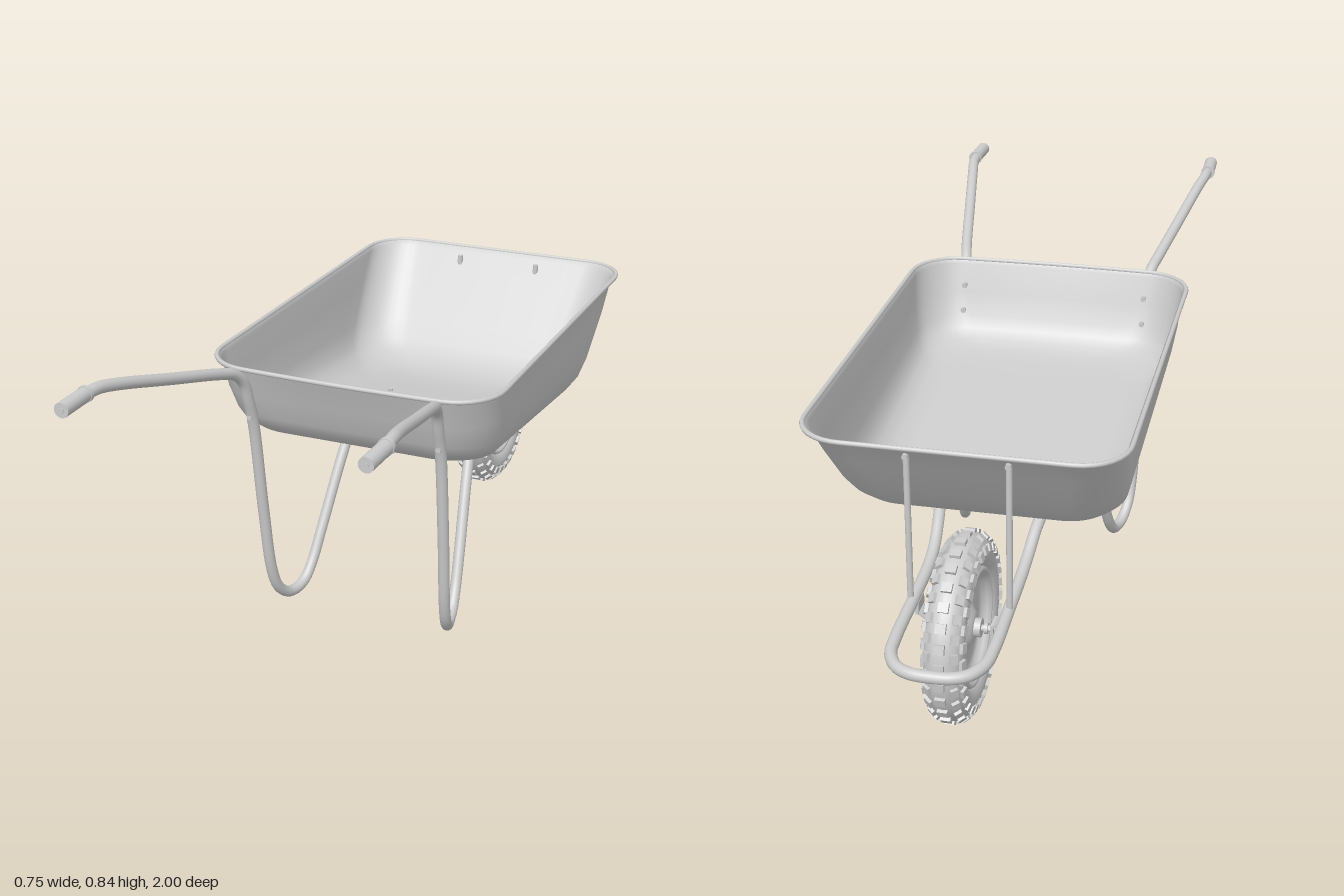
import * as THREE from 'three';
import { mergeGeometries } from 'three/addons/utils/BufferGeometryUtils.js';

const steel = new THREE.MeshStandardMaterial({ color: 0xcccccc, side: THREE.DoubleSide });
steel.name = 'plain grey';
const V = (x, y, z) => new THREE.Vector3(x, y, z);

function add(parent, name, geometry, x = 0, y = 0, z = 0) {
  const mesh = new THREE.Mesh(geometry, steel);
  mesh.name = name;
  mesh.position.set(x, y, z);
  parent.add(mesh);
  return mesh;
}

// Cylinder running from a to b
function rod(parent, name, a, b, r, sides = 20) {
  const mesh = add(parent, name, new THREE.CylinderGeometry(r, r, a.distanceTo(b), sides));
  mesh.position.copy(a).add(b).multiplyScalar(0.5);
  mesh.quaternion.setFromUnitVectors(V(0, 1, 0), b.clone().sub(a).normalize());
  return mesh;
}

// Rounded-rectangle loop that slopes from its back edge to its front edge
function trayLoop([zBack, yBack, zFront, yFront, half, r, bow]) {
  const pts = [];
  const corner = (cx, cz, start) => {
    for (let i = 0; i <= 10; i++) {
      const a = start + (i / 10) * Math.PI / 2;
      pts.push([cx + r * Math.cos(a), cz + r * Math.sin(a)]);
    }
  };
  const edge = (ax, az, bx, bz) => {
    for (let i = 1; i < 10; i++) pts.push([ax + (bx - ax) * i / 10, az + (bz - az) * i / 10]);
  };
  const x = half - r, zb = zBack - r, zf = zFront + r;
  corner(x, zb, 0);
  edge(x, zBack, -x, zBack);
  corner(-x, zb, Math.PI / 2);
  edge(-half, zb, -half, zf);
  corner(-x, zf, Math.PI);
  edge(-x, zFront, x, zFront);
  corner(x, zf, Math.PI * 1.5);
  edge(half, zf, half, zb);
  return pts.map(([px, pz]) => {
    const t = (pz - zFront) / (zBack - zFront);
    const bulge = t > 0.5 ? bow * (1 - (px / half) ** 2) * (t - 0.5) * 2 : 0;
    return V(px, yFront + (yBack - yFront) * t, pz + bulge);
  });
}

// Pressed tray: loops from the rim down to the floor
function trayGeometry(sections) {
  const loops = sections.map(trayLoop);
  const n = loops[0].length, pos = [], idx = [];
  loops.forEach(l => l.forEach(p => pos.push(p.x, p.y, p.z)));
  for (let k = 0; k < loops.length - 1; k++) {
    for (let i = 0; i < n; i++) {
      const a = k * n + i, b = k * n + (i + 1) % n;
      idx.push(a, b, a + n, b, b + n, a + n);
    }
  }
  const last = loops[loops.length - 1];
  const c = last.reduce((s, p) => s.add(p), V(0, 0, 0)).divideScalar(n);
  pos.push(c.x, c.y, c.z);
  const base = (loops.length - 1) * n;
  for (let i = 0; i < n; i++) idx.push(base + i, base + (i + 1) % n, loops.length * n);
  const g = new THREE.BufferGeometry();
  g.setAttribute('position', new THREE.Float32BufferAttribute(pos, 3));
  g.setIndex(idx);
  g.computeVertexNormals();
  return g;
}

function makeTray() {
  const tray = new THREE.Group();
  tray.name = 'tray';
  // back z, back y, front z, front y, half width, corner radius, back bow
  const sections = [
    [0.368, 0.703, -0.752, 0.693, 0.366, 0.11, 0.014],
    [0.362, 0.692, -0.738, 0.682, 0.360, 0.11, 0.012],
    [0.345, 0.620, -0.680, 0.605, 0.356, 0.115, 0.004],
    [0.326, 0.560, -0.600, 0.500, 0.345, 0.12, 0],
    [0.308, 0.530, -0.560, 0.455, 0.334, 0.12, 0],
    [0.285, 0.508, -0.530, 0.428, 0.315, 0.12, 0],
    [0.250, 0.492, -0.490, 0.408, 0.285, 0.11, 0],
    [0.200, 0.481, -0.435, 0.399, 0.240, 0.10, 0],
    [0.100, 0.468, -0.330, 0.412, 0.130, 0.07, 0],
  ];
  add(tray, 'trayShell', trayGeometry(sections));
  const rim = new THREE.CatmullRomCurve3(trayLoop([0.371, 0.702, -0.756, 0.692, 0.370, 0.112, 0.013]), true);
  add(tray, 'rolledRim', new THREE.TubeGeometry(rim, 160, 0.006, 8, true));
  for (const s of [-1, 1]) {
    rod(tray, 'floorBolt', V(s * 0.14, 0.405, -0.26), V(s * 0.14, 0.428, -0.26), 0.007, 8);
    rod(tray, 'upperBackBolt', V(s * 0.247, 0.637, 0.34), V(s * 0.247, 0.637, 0.381), 0.007, 8);
    rod(tray, 'lowerBackBolt', V(s * 0.247, 0.572, 0.32), V(s * 0.247, 0.572, 0.365), 0.007, 8);
    rod(tray, 'frontBolt', V(s * 0.115, 0.66, -0.735), V(s * 0.115, 0.66, -0.712), 0.007, 8);
  }
  return tray;
}

function makeFrame() {
  const frame = new THREE.Group();
  frame.name = 'frame';
  // One bent tube: handle, leg, under-tray arch and front hoop, then mirrored
  const half = [
    [0.346, 0.825, 0.99], [0.346, 0.825, 0.91], [0.343, 0.824, 0.86], [0.332, 0.812, 0.80],
    [0.300, 0.765, 0.63], [0.268, 0.718, 0.46], [0.257, 0.700, 0.41], [0.250, 0.672, 0.382],
    [0.247, 0.620, 0.364], [0.246, 0.550, 0.344], [0.243, 0.300, 0.313], [0.238, 0.120, 0.289],
    [0.233, 0.060, 0.266], [0.224, 0.027, 0.230], [0.216, 0.021, 0.195], [0.209, 0.032, 0.158],
    [0.203, 0.070, 0.123], [0.195, 0.150, 0.077], [0.176, 0.330, -0.022], [0.169, 0.385, -0.060],
    [0.161, 0.410, -0.100], [0.153, 0.413, -0.150], [0.140, 0.402, -0.260], [0.128, 0.382, -0.390],
    [0.119, 0.355, -0.450], [0.113, 0.318, -0.515], [0.111, 0.300, -0.580], [0.111, 0.290, -0.700],
    [0.111, 0.280, -0.860], [0.105, 0.277, -0.920], [0.080, 0.275, -0.963], [0.045, 0.275, -0.982],
  ].map(p => V(...p));
  const mirrored = half.map(p => V(-p.x, p.y, p.z)).reverse();
  const path = new THREE.CatmullRomCurve3([...half, V(0, 0.275, -0.986), ...mirrored]);
  add(frame, 'bentTube', new THREE.TubeGeometry(path, 420, 0.0142, 16));
  for (const s of [-1, 1]) {
    // Grips with a recessed-looking end button
    rod(frame, 'grip', V(s * 0.348, 0.825, 0.905), V(s * 0.346, 0.825, 0.998), 0.0175);
    rod(frame, 'gripCollar', V(s * 0.348, 0.825, 0.897), V(s * 0.348, 0.825, 0.907), 0.019);
    rod(frame, 'gripEnd', V(s * 0.346, 0.825, 0.995), V(s * 0.346, 0.825, 1.0), 0.006, 10);
    // Strut from the front hoop to the tray front
    rod(frame, 'strut', V(s * 0.115, 0.285, -0.72), V(s * 0.115, 0.675, -0.72), 0.0075, 12);
    // Cranked bracket that carries the axle
    add(frame, 'bracketTop', new THREE.BoxGeometry(0.008, 0.03, 0.05), s * 0.1, 0.272, -0.7);
    const web = add(frame, 'bracketWeb', new THREE.BoxGeometry(0.036, 0.006, 0.045), s * 0.087, 0.251, -0.7);
    web.rotation.z = s * 0.65;
    add(frame, 'bracketPlate', new THREE.BoxGeometry(0.006, 0.036, 0.045), s * 0.073, 0.228, -0.7);
  }
  return frame;
}

// Lathe profile of [radius, offset] turned about the x axis
function wheelLathe(points) {
  const g = new THREE.LatheGeometry(points.map(p => new THREE.Vector2(...p)), 48);
  return g.rotateZ(Math.PI / 2);
}

function makeWheel() {
  const wheel = new THREE.Group();
  wheel.name = 'wheel';
  wheel.position.set(0, 0.225, -0.70);
  const R = 0.172, r = 0.045;
  add(wheel, 'tyre', new THREE.TorusGeometry(R, r, 24, 64).rotateY(Math.PI / 2));

  // Tread blocks in rows across the tyre, alternate rows staggered
  const blocks = [], count = 30;
  const rows = [[0, 0, 0.024], [40, 0.5, 0.018], [-40, 0.5, 0.018], [74, 0, 0.018], [-74, 0, 0.018]];
  for (const [deg, shift, width] of rows) {
    const phi = deg * Math.PI / 180;
    for (let i = 0; i < count; i++) {
      const g = new THREE.BoxGeometry(width, 0.012, 0.022);
      g.translate(0, r + 0.001, 0).rotateZ(-phi).translate(0, R, 0);
      blocks.push(g.rotateX((i + shift) / count * Math.PI * 2));
    }
  }
  add(wheel, 'treadBlocks', mergeGeometries(blocks));

  // Dished rim on both sides, hub, axle and nuts
  for (const s of [-1, 1]) {
    add(wheel, 'rimDish', wheelLathe([
      [0.142, s * 0.030], [0.138, s * 0.038], [0.130, s * 0.038], [0.125, s * 0.028], [0.118, s * 0.016],
      [0.100, s * 0.012], [0.060, s * 0.014], [0.045, s * 0.020], [0.036, s * 0.028], [0.020, s * 0.030],
    ]));
    rod(wheel, 'axleNut', V(s * 0.076, 0, 0), V(s * 0.085, 0, 0), 0.014, 6);
    rod(wheel, 'axleCap', V(s * 0.085, 0, 0), V(s * 0.089, 0, 0), 0.008, 12);
    rod(wheel, 'hubCollar', V(s * 0.052, 0, 0), V(s * 0.06, 0, 0), 0.013, 16);
  }
  rod(wheel, 'hub', V(-0.045, 0, 0), V(0.045, 0, 0), 0.022, 24);
  rod(wheel, 'axle', V(-0.084, 0, 0), V(0.084, 0, 0), 0.008, 16);
  return wheel;
}

export function createModel() {
  const model = new THREE.Group();
  model.name = 'wheelbarrow';
  model.add(makeTray(), makeFrame(), makeWheel());
  return model;
}
